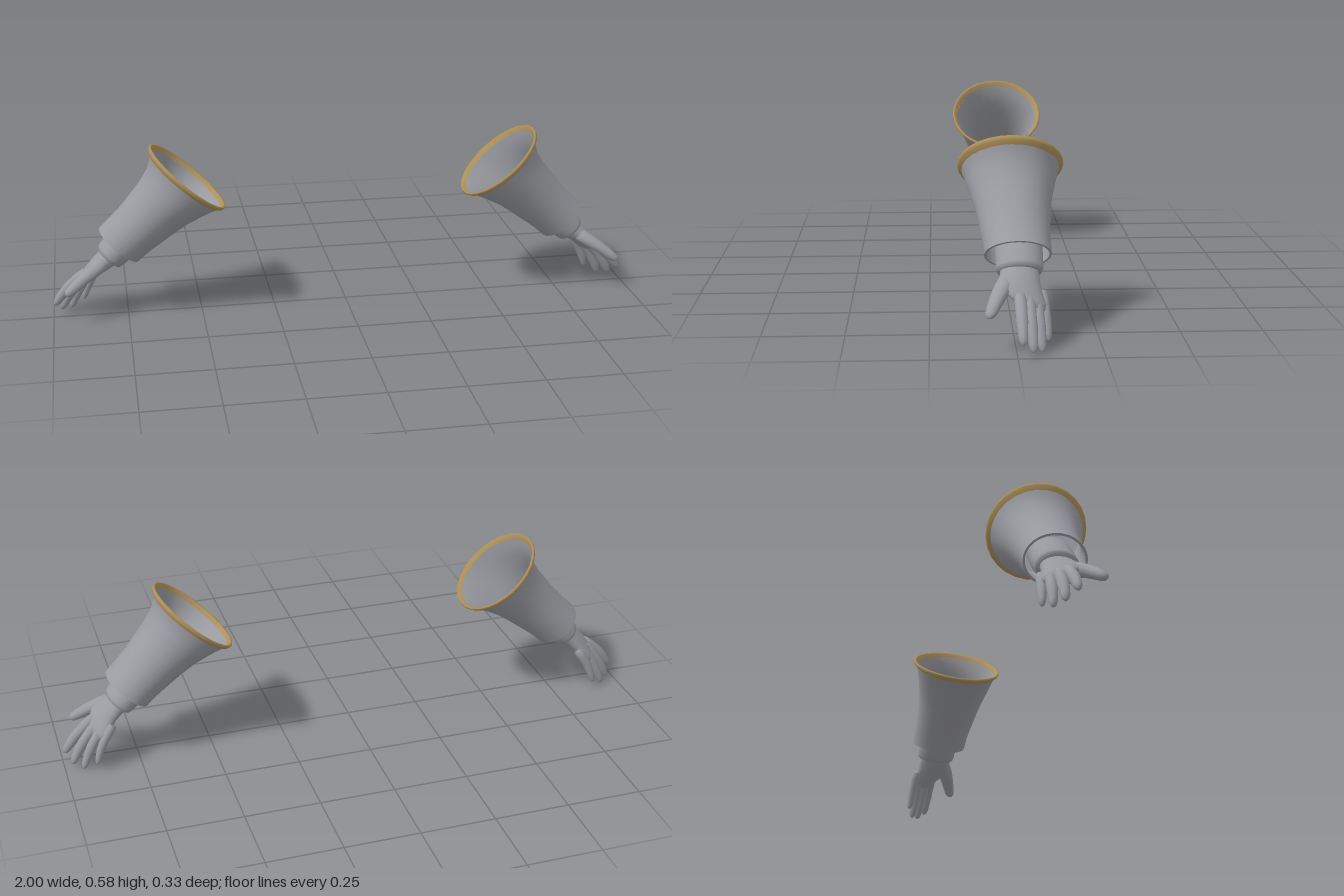
import * as THREE from 'three';

const grey = new THREE.MeshStandardMaterial({ color: 0x9a9ba1, side: THREE.DoubleSide });
grey.name = 'steel grey';
const gold = new THREE.MeshStandardMaterial({ color: 0xb0935a, side: THREE.DoubleSide });
gold.name = 'dull gold';

// Arm frame: d runs from the cuff mouth to the fingertips, u towards the back of the hand.
const TILT = Math.atan2(0.66, 0.75);
const toWorld = (d, u, z, side) => [
  side * (0.53 + Math.cos(TILT) * u + Math.sin(TILT) * d),
  0.48 + Math.sin(TILT) * u - Math.cos(TILT) * d,
  z,
];

// Skin over elliptical sections [d, u, z, radiusU, radiusZ, twist].
function loft(sections, side, sides, capped) {
  const pos = [], index = [];
  const tri = (a, b, c) => (side > 0 ? index.push(a, b, c) : index.push(a, c, b));
  for (const [d, u, z, ru, rz = ru, twist = 0] of sections) {
    const c = Math.cos(twist), s = Math.sin(twist);
    for (let j = 0; j < sides; j++) {
      const a = (j / sides) * Math.PI * 2;
      const pu = Math.cos(a) * ru, pz = Math.sin(a) * rz;
      pos.push(...toWorld(d, u + c * pu + s * pz, z + c * pz - s * pu, side));
    }
  }
  for (let i = 0; i < sections.length - 1; i++) {
    for (let j = 0; j < sides; j++) {
      const k = (j + 1) % sides, a = i * sides, b = a + sides;
      tri(a + j, a + k, b + j);
      tri(a + k, b + k, b + j);
    }
  }
  if (capped) {
    const first = sections[0], last = sections[sections.length - 1];
    const n = pos.length / 3, end = (sections.length - 1) * sides;
    pos.push(...toWorld(first[0], first[1], first[2], side));
    pos.push(...toWorld(last[0] + 0.003, last[1], last[2], side));
    for (let j = 0; j < sides; j++) {
      const k = (j + 1) % sides;
      tri(n, k, j);
      tri(n + 1, end + j, end + k);
    }
  }
  const geo = new THREE.BufferGeometry();
  geo.setAttribute('position', new THREE.Float32BufferAttribute(pos, 3));
  geo.setIndex(index);
  geo.computeVertexNormals();
  return geo;
}

// Flared cuff, wide at the mouth and leaning to the back of the hand at the wrist
const CUFF = [
  [0.015, 0.001, 0, 0.151, 0.151],
  [0.035, 0, 0, 0.137, 0.145],
  [0.07, 0, 0, 0.121, 0.135],
  [0.12, 0.006, -0.001, 0.107, 0.123],
  [0.17, 0.011, -0.003, 0.099, 0.113],
  [0.225, 0.016, -0.006, 0.092, 0.106],
  [0.28, 0.023, -0.01, 0.087, 0.101],
  [0.33, 0.028, -0.012, 0.086, 0.1],
];
const inset = (t) => ([d, u, z, ru, rz]) => [d, u, z, ru - t, rz - t];

const TRIM = [
  [0.012, 0.001, 0, 0.147],
  [0, 0.002, 0, 0.155],
  [-0.001, 0.002, 0, 0.161],
  [0.005, 0.002, 0, 0.163],
  [0.013, 0.002, 0, 0.159],
  [0.022, 0.001, 0, 0.147],
];

const WRIST = [
  [0.26, 0.02, -0.014, 0.056, 0.07],
  [0.33, 0.022, -0.015, 0.056, 0.071],
  [0.372, 0.025, -0.015, 0.053, 0.07],
  [0.385, 0.026, -0.015, 0.05, 0.066],
  [0.386, 0.026, -0.015, 0.036, 0.054],
];

const PALM = [
  [0.34, 0.023, -0.014, 0.036, 0.054, 0],
  [0.39, 0.028, -0.014, 0.035, 0.058, 0.08],
  [0.43, 0.035, -0.014, 0.031, 0.062, 0.2],
  [0.46, 0.037, -0.023, 0.026, 0.063, 0.33],
  [0.49, 0.036, -0.042, 0.021, 0.052, 0.42],
  [0.51, 0.037, -0.043, 0.014, 0.044, 0.42],
];

const THUMB = [
  [0.395, 0.033, 0.014, 0.022, 0.026],
  [0.44, 0.046, 0.033, 0.024, 0.029],
  [0.48, 0.059, 0.05, 0.021, 0.026],
  [0.52, 0.068, 0.066, 0.018, 0.021],
  [0.545, 0.073, 0.074, 0.015, 0.017],
  [0.555, 0.074, 0.077, 0.008, 0.009],
];

// Fingers: knuckle [d, u, z], tip [d, u, z], thickness
const FINGERS = {
  indexFinger: [[0.475, 0.053, -0.012], [0.634, 0.06, -0.016], 0.019],
  middleFinger: [[0.475, 0.042, -0.037], [0.641, 0.026, -0.047], 0.019],
  ringFinger: [[0.465, 0.029, -0.06], [0.626, -0.003, -0.074], 0.018],
  littleFinger: [[0.445, 0.014, -0.08], [0.582, -0.022, -0.094], 0.016],
};

// Slightly arched finger with a soft joint and a rounded tip
function fingerSections([a, b, r]) {
  const shape = [[0, 0.9], [0.2, 1], [0.4, 0.94], [0.55, 0.97], [0.75, 0.85], [0.9, 0.72], [0.97, 0.5], [1, 0.24]];
  return shape.map(([t, k]) => {
    const p = a.map((v, i) => v + (b[i] - v) * t);
    return [p[0], p[1] + 0.008 * Math.sin(Math.PI * t), p[2], r * k, r * k * 0.98];
  });
}

function gauntlet(side) {
  const group = new THREE.Group();
  const add = (name, sections, sides, material, capped = false) => {
    const mesh = new THREE.Mesh(loft(sections, side, sides, capped), material);
    mesh.name = name;
    group.add(mesh);
  };
  const end = CUFF[CUFF.length - 1];
  add('cuffOuter', CUFF, 28, grey);
  add('cuffLining', CUFF.map(inset(0.007)).reverse(), 28, grey);
  add('cuffHem', [end, inset(0.007)(end)], 28, grey);
  add('cuffTrim', TRIM, 28, gold);
  add('wristBand', WRIST, 20, grey);
  add('palm', PALM, 18, grey, true);
  add('thumb', THUMB, 12, grey, true);
  for (const name in FINGERS) add(name, fingerSections(FINGERS[name]), 10, grey, true);
  return group;
}

export function createModel() {
  const model = new THREE.Group();
  model.name = 'gauntlets';
  for (const side of [1, -1]) {
    const g = gauntlet(side);
    g.name = side > 0 ? 'leftGauntlet' : 'rightGauntlet';
    model.add(g);
  }
  return model;
}
